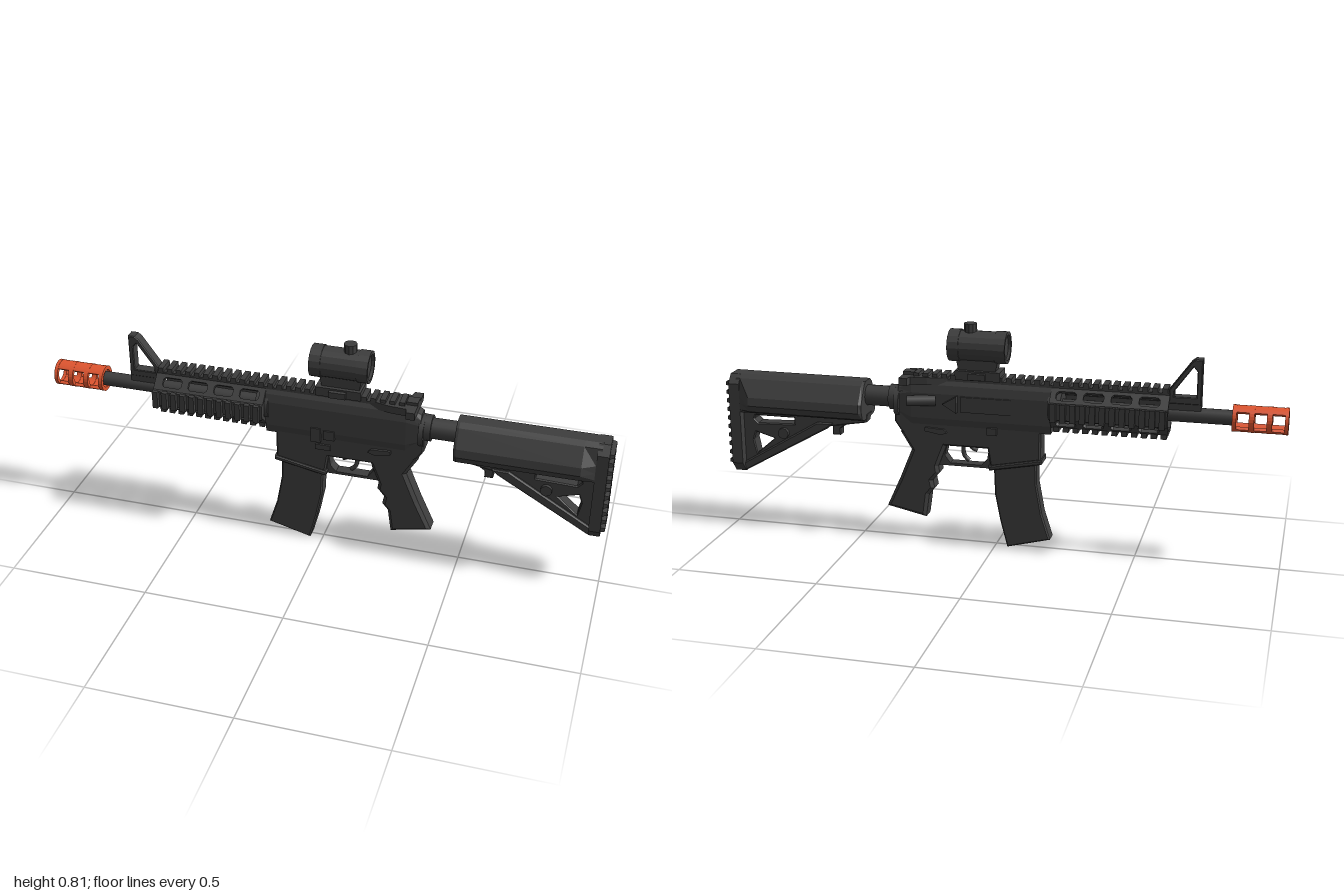
import * as THREE from 'three';
import { mergeGeometries } from 'three/addons/utils/BufferGeometryUtils.js';

const AXIS = 0.535; // height of the bore line

export function createModel() {
  const model = new THREE.Group();
  const dark = new THREE.MeshStandardMaterial({ color: 0x3d3d3d });
  dark.name = 'charcoal';
  const orange = new THREE.MeshStandardMaterial({ color: 0xe0552f });
  orange.name = 'orange';

  const add = (name, geo, mat = dark, parent = model) => {
    const m = new THREE.Mesh(geo, mat);
    m.name = name;
    parent.add(m);
    return m;
  };
  const toShape = (pts, holes = []) => {
    const s = new THREE.Shape(pts.map(p => new THREE.Vector2(...p)));
    holes.forEach(h => s.holes.push(new THREE.Path(h.map(p => new THREE.Vector2(...p)))));
    return s;
  };
  // side outline (x, y) given a half width in z, with chamfered edges
  const side = (pts, half, bevel = 0, holes = []) => new THREE.ExtrudeGeometry(toShape(pts, holes), {
    depth: 2 * (half - bevel), bevelEnabled: bevel > 0, bevelSize: bevel, bevelThickness: bevel,
    bevelOffset: -bevel, bevelSegments: 1,
  }).translate(0, 0, bevel - half);
  const box = (x0, x1, y0, y1, z0, z1) => new THREE.BoxGeometry(x1 - x0, y1 - y0, z1 - z0)
    .translate((x0 + x1) / 2, (y0 + y1) / 2, (z0 + z1) / 2);
  // cylinder along x
  const rod = (r, x0, x1, y = AXIS, sides = 16, z = 0) => new THREE.CylinderGeometry(r, r, x1 - x0, sides)
    .rotateZ(Math.PI / 2).translate((x0 + x1) / 2, y, z);
  const flat = g => { const n = g.toNonIndexed(); n.computeVertexNormals(); return n; };
  // ring or arc in the yz plane, pushed along x
  const arc = (rOut, rIn, a0, a1, x0, x1, y = AXIS, seg = 6) => {
    const s = new THREE.Shape();
    s.absarc(0, 0, rOut, a0, a1, false);
    if (a1 - a0 > 6) s.holes.push(new THREE.Path().absarc(0, 0, rIn, a0, a1, true));
    else s.absarc(0, 0, rIn, a1, a0, true);
    return new THREE.ExtrudeGeometry(s, { depth: x1 - x0, bevelEnabled: false, curveSegments: seg })
      .rotateY(Math.PI / 2).translate(x0, y, 0);
  };
  // skin over mirrored half sections; each section is [x, [[y, z], ...]] from top to bottom
  const loft = sections => {
    const loops = sections.map(([x, h]) => [...h, ...h.slice().reverse().map(([y, z]) => [y, -z])]
      .map(([y, z]) => [x, y, z]));
    const v = [], n = loops[0].length, last = loops[loops.length - 1];
    for (let i = 0; i + 1 < loops.length; i++) {
      for (let j = 0; j < n; j++) {
        const k = (j + 1) % n, a = loops[i][j], b = loops[i][k], c = loops[i + 1][k], d = loops[i + 1][j];
        v.push(...a, ...b, ...c, ...a, ...c, ...d);
      }
    }
    for (let j = 1; j + 1 < n; j++) {
      v.push(...last[0], ...last[j], ...last[j + 1], ...loops[0][0], ...loops[0][j + 1], ...loops[0][j]);
    }
    const g = new THREE.BufferGeometry();
    g.setAttribute('position', new THREE.Float32BufferAttribute(v, 3));
    g.computeVertexNormals();
    return g;
  };

  // muzzle: rings joined by top and bottom strips, leaving side windows
  const muzzle = new THREE.Group();
  muzzle.name = 'muzzle';
  model.add(muzzle);
  [[-1, -0.988], [-0.947, -0.929], [-0.888, -0.87], [-0.829, -0.815]].forEach(([a, b]) =>
    add('muzzleRing', arc(0.046, 0.032, 0, Math.PI * 2, a, b, AXIS, 14), orange, muzzle));
  [0.74, 0.74 + Math.PI].forEach(a =>
    add('muzzleStrip', arc(0.045, 0.033, a, a + 1.66, -0.995, -0.82), orange, muzzle));

  add('barrel', rod(0.026, -0.82, -0.15));
  add('gasBlock', box(-0.71, -0.6, 0.55, 0.6, -0.018, 0.018));
  add('frontSight', side(
    [[-0.71, 0.575], [-0.6, 0.575], [-0.6, 0.622], [-0.672, 0.722], [-0.685, 0.732], [-0.71, 0.732]], 0.02, 0.003,
    [[[-0.693, 0.6], [-0.693, 0.69], [-0.68, 0.705], [-0.618, 0.618], [-0.618, 0.6]]]));

  // handguard: four toothed rails joined by slotted diagonal panels
  const handguard = new THREE.Group();
  handguard.name = 'handguard';
  model.add(handguard);
  const rail = (x0, x1, outer) => {
    const parts = [box(x0, x1, 0.057, outer - 0.016, -0.028, 0.028)];
    const count = Math.round((x1 - x0) / 0.0335), pitch = (x1 - x0) / count;
    for (let i = 0; i < count; i++) {
      const x = x0 + pitch * i + 0.006;
      parts.push(box(x, x + pitch * 0.58, outer - 0.017, outer, -0.032, 0.032));
    }
    return mergeGeometries(parts);
  };
  const slots = [-0.54, -0.445, -0.35, -0.255].map(c =>
    [[-0.035, -0.01], [-0.027, -0.018], [0.027, -0.018], [0.035, -0.01],
      [0.035, 0.01], [0.027, 0.018], [-0.027, 0.018], [-0.035, 0.01]].map(([x, y]) => [c + x, y]));
  const panel = side([[-0.605, -0.03], [-0.2, -0.03], [-0.2, 0.03], [-0.605, 0.03]], 0.006, 0, slots)
    .rotateX(-Math.PI / 2).translate(0, 0.064, 0);
  const outer = [0.094, 0.099, 0.085, 0.099];
  for (let i = 0; i < 4; i++) {
    const r = add('handguardRail', rail(-0.605, -0.2, outer[i]), dark, handguard);
    const p = add('handguardPanel', panel, dark, handguard);
    r.rotation.x = i * Math.PI / 2;
    p.rotation.x = (i + 0.5) * Math.PI / 2;
    r.position.y = p.position.y = AXIS;
  }
  add('barrelNut', rod(0.055, -0.235, -0.19), dark, handguard);

  // receiver
  add('upperReceiver', loft([-0.2, 0.3, 0.35].map((x, i) => [x, i < 2
    ? [[0.61, 0.025], [0.59, 0.036], [0.56, 0.042], [0.47, 0.042], [0.44, 0.036]]
    : [[0.585, 0.02], [0.57, 0.032], [0.55, 0.038], [0.49, 0.038], [0.47, 0.03]]])));
  add('receiverRail', rail(-0.2, 0.3, 0.094)).position.y = AXIS;
  add('lowerReceiver', side([[-0.165, 0.5], [-0.165, 0.34], [0.015, 0.305], [0.025, 0.37], [0.18, 0.37],
    [0.29, 0.365], [0.345, 0.42], [0.365, 0.45], [0.36, 0.56], [0.33, 0.57], [0.3, 0.5]], 0.037, 0.006));
  add('magazineWellLip', side([[-0.17, 0.345], [-0.17, 0.328], [0.018, 0.292], [0.022, 0.308]], 0.043, 0.004));
  add('magazine', side([[-0.147, 0.4], [-0.15, 0.25], [-0.17, 0.14], [-0.2, 0.046], [-0.045, 0.005],
    [-0.02, 0.1], [0, 0.2], [0.008, 0.4]], 0.029, 0.005));
  add('chargingHandle', loft([[0.17, 0.028], [0.24, 0.045], [0.3, 0.05], [0.305, 0.072], [0.335, 0.072]]
    .map(([x, w]) => [x, [[0.617, w], [0.59, w]]])));
  add('rearSight', box(0.295, 0.335, 0.585, 0.628, -0.02, 0.02));

  // controls on the +z side
  add('boltCatch', box(-0.035, 0.0, 0.43, 0.485, 0.03, 0.047));
  add('catchLever', box(0.01, 0.05, 0.445, 0.48, 0.03, 0.048));
  add('catchPaddle', box(-0.02, 0.035, 0.4, 0.42, 0.03, 0.044));
  add('selector', side([[0.17, 0.42], [0.18, 0.432], [0.25, 0.436], [0.25, 0.422], [0.19, 0.412]], 0.046));
  // controls on the -z side
  add('ejectionCover', box(-0.06, 0.12, 0.5, 0.555, -0.047, -0.04));
  add('magazineRelease', box(-0.01, 0.025, 0.425, 0.45, -0.05, -0.035));
  add('brassDeflector', side([[0.13, 0.5], [0.13, 0.56], [0.18, 0.53]], 0.018).translate(0, 0, -0.048));
  const assist = add('forwardAssist', rod(0.019, -0.05, 0.05, 0, 10));
  assist.position.set(0.26, 0.535, -0.052);
  assist.rotation.y = 0.3;

  // trigger and guard
  const curve = pts => new THREE.CatmullRomCurve3(pts.map(([x, y]) => new THREE.Vector3(x, y, 0)));
  add('trigger', new THREE.TubeGeometry(curve([[0.115, 0.39], [0.122, 0.35], [0.115, 0.325], [0.1, 0.312]]), 8, 0.008, 6));
  add('triggerRear', new THREE.TubeGeometry(curve([[0.1, 0.38], [0.09, 0.36], [0.07, 0.35]]), 6, 0.007, 6));
  add('triggerGuard', side([[0.01, 0.31], [0.02, 0.293], [0.205, 0.293], [0.21, 0.3], [0.19, 0.375],
    [0.175, 0.375], [0.185, 0.33], [0.165, 0.303], [0.05, 0.303], [0.03, 0.325], [0.022, 0.375], [0.01, 0.375]], 0.02));
  add('grip', side([[0.17, 0.385], [0.19, 0.335], [0.207, 0.29], [0.203, 0.265], [0.228, 0.235], [0.222, 0.205],
    [0.243, 0.18], [0.255, 0.094], [0.4, 0.125], [0.35, 0.235], [0.305, 0.345], [0.345, 0.41], [0.33, 0.43],
    [0.2, 0.43]], 0.037, 0.012));

  // sight on its mount
  const scope = new THREE.Group();
  scope.name = 'scope';
  model.add(scope);
  add('mountBase', box(-0.02, 0.14, 0.615, 0.648, -0.04, 0.04), dark, scope);
  add('mountNeck', side([[0, 0.64], [0.13, 0.64], [0.14, 0.69], [-0.01, 0.69]], 0.026), dark, scope);
  [-1, 1].forEach(s => add('mountClamp', box(0.03, 0.09, 0.62, 0.642, s * 0.045 - 0.01, s * 0.045 + 0.01), dark, scope));
  const tube = (rO, rI, a, b) => arc(rO, rI, Math.PI / 8, Math.PI * 2.125, a, b, 0.73, 8);
  add('scopeBody', flat(rod(0.05, -0.03, 0.155, 0.73, 8).translate(0, -0.73, 0).rotateX(Math.PI / 8)
    .translate(0, 0.73, 0)), dark, scope);
  add('frontRim', tube(0.057, 0.045, -0.04, 0.0), dark, scope);
  add('rearRim', tube(0.057, 0.045, 0.125, 0.165), dark, scope);
  add('scopeHousing', tube(0.054, 0.04, 0.0, 0.125), dark, scope);
  add('scopeKnob', flat(new THREE.CylinderGeometry(0.023, 0.023, 0.04, 10)).translate(0.093, 0.79, 0), dark, scope);

  // buffer tube and collars
  add('bufferTube', rod(0.037, 0.34, 0.55, 0.528));
  add('endPlate', rod(0.058, 0.345, 0.362, 0.515, 12));
  add('castleNut', rod(0.046, 0.362, 0.385, 0.528, 12));

  // stock
  const stock = new THREE.Group();
  stock.name = 'stock';
  model.add(stock);
  const stockHalf = [[0.583, 0.025], [0.57, 0.045], [0.51, 0.084], [0.48, 0.088], [0.455, 0.075], [0.445, 0.055]];
  const narrow = m => stockHalf.map(([y, z]) => [y, Math.min(z, m)]);
  add('stockBody', loft([[0.473, narrow(0.084).map(([y, z]) => [y, z * 0.93])], [0.483, stockHalf],
    [0.9, stockHalf], [0.945, narrow(0.058)], [0.96, narrow(0.058)]]), dark, stock);
  add('stockFrame', side([[0.47, 0.46], [0.475, 0.43], [0.62, 0.405], [0.95, 0.215], [0.97, 0.215], [0.97, 0.46]],
    0.026, 0.004, [[[0.75, 0.428], [0.9, 0.428], [0.905, 0.415], [0.89, 0.4], [0.75, 0.405]],
      [[0.83, 0.345], [0.9, 0.365], [0.91, 0.335], [0.9, 0.285]]]), dark, stock);
  add('stockStrut', side([[0.6, 0.42], [0.62, 0.4], [0.95, 0.213], [0.955, 0.245], [0.66, 0.42]], 0.036, 0.005), dark, stock);
  add('stockCrossPin', new THREE.CylinderGeometry(0.02, 0.02, 0.08, 10).rotateX(Math.PI / 2).translate(0.79, 0.37, 0), dark, stock);
  add('stockLever', side([[0.5, 0.45], [0.575, 0.4], [0.575, 0.375], [0.605, 0.375], [0.605, 0.45]], 0.02, 0.003), dark, stock);
  const butt = [[0.582, 0.03], [0.55, 0.058], [0.25, 0.058], [0.214, 0.03]];
  add('buttPlate', loft([[0.945, butt], [0.985, butt]]), dark, stock);
  for (let i = 0; i < 10; i++) {
    const y = 0.245 + i * 0.0325;
    add('buttRib', loft([[0.98, [[y + 0.02, 0.05], [y, 0.05]]], [1, [[y + 0.016, 0.045], [y + 0.004, 0.045]]]]), dark, stock);
  }
  return model;
}
